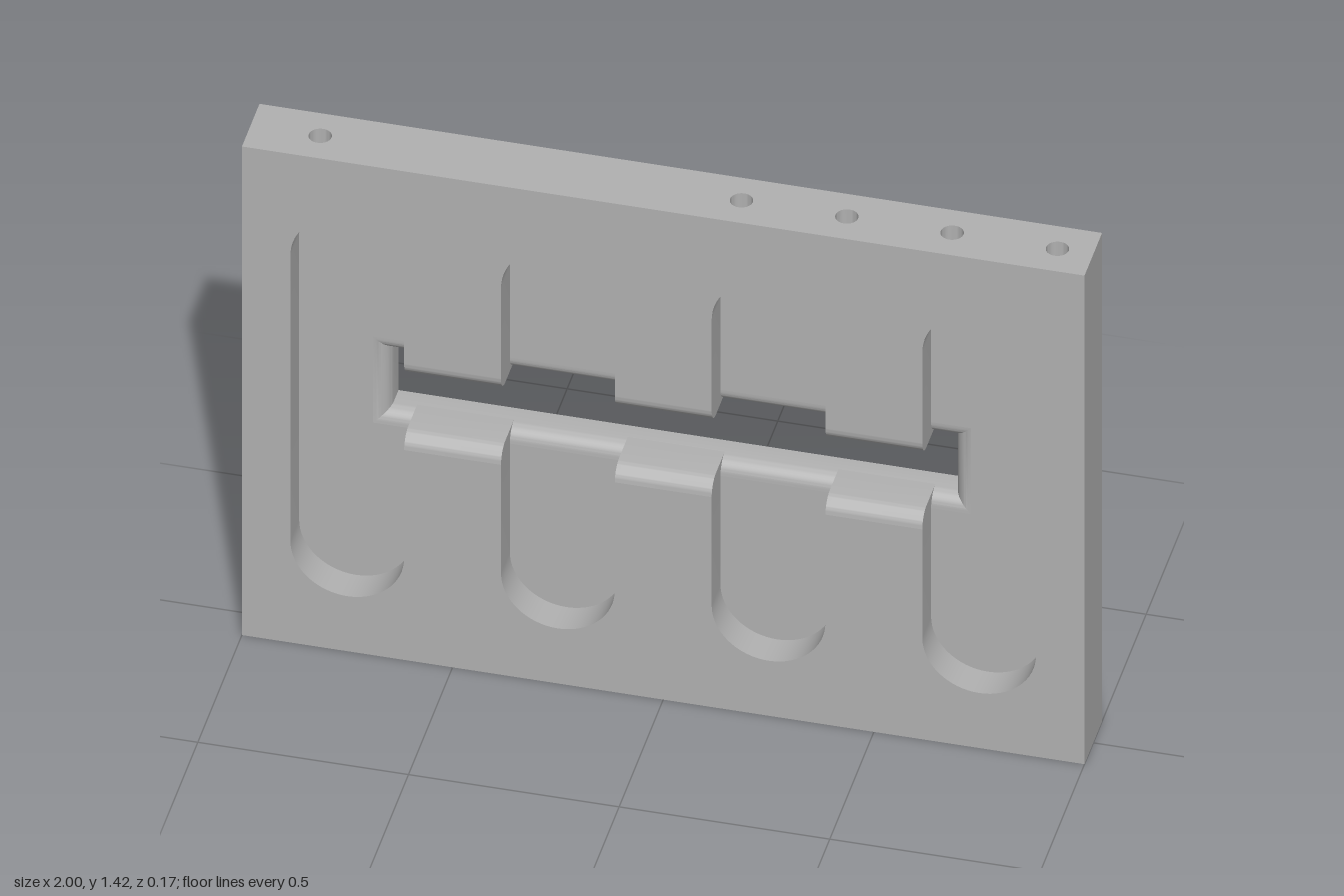
import * as THREE from 'three';
import { toCreasedNormals } from 'three/addons/utils/BufferGeometryUtils.js';

const H = 1.42, T = 0.083;                 // plate height, half thickness
const WX = 0.67, WB = 0.65, WT = 0.82;     // window half width, bottom, top
const F = 0.04;                            // window edge rounding
const R = 0.135, LOW = 0.295, HIGH = 1.125; // slot radius and arc centres
const SLOTS = [-0.75, -0.25, 0.25, 0.75];

// Rectangle as clockwise points
const rect = (x, y0, y1) => [[-x, y0], [-x, y1], [x, y1], [x, y0]].map(p => new THREE.Vector2(...p));

function sheet(outline, holes = []) {
  const shape = new THREE.Shape(outline);
  shape.holes.push(...holes);
  return new THREE.ShapeGeometry(shape, 32);
}

// Walls joining closed loops [{ points, z }]; clockwise loops face inwards
function loft(loops) {
  const pos = [], index = [], n = loops[0].points.length;
  loops.forEach(l => l.points.forEach(p => pos.push(p.x, p.y, l.z)));
  for (let k = 0; k < loops.length - 1; k++) {
    for (let i = 0; i < n; i++) {
      const a = k * n + i, b = k * n + (i + 1) % n;
      index.push(a, b, b + n, a, b + n, a + n);
    }
  }
  const geo = new THREE.BufferGeometry();
  geo.setAttribute('position', new THREE.Float32BufferAttribute(pos, 3));
  geo.setIndex(index);
  return toCreasedNormals(geo, 0.5);
}

// Outline of the four slots joined by the window, clockwise
function slotOutline() {
  const pts = [];
  const half = (centres, arcY, edgeY, start) => centres.forEach(cx => {
    const side = Math.cos(start) * R;
    pts.push(new THREE.Vector2(cx + side, edgeY));
    for (let i = 0; i <= 32; i++) {
      const a = start - Math.PI * i / 32;
      pts.push(new THREE.Vector2(cx + R * Math.cos(a), arcY + R * Math.sin(a)));
    }
    pts.push(new THREE.Vector2(cx - side, edgeY));
  });
  half(SLOTS, HIGH, WT + F, Math.PI);
  half([...SLOTS].reverse(), LOW, WB - F, 0);
  return pts;
}

// Rounded end of a rib between two slots; s = 1 above the window, -1 below
function ribTip(x, edge, s) {
  const shape = new THREE.Shape();
  shape.moveTo(F, edge);
  shape.lineTo(F - T, edge);
  shape.absarc(F - T, edge + s * F, F, -s * Math.PI / 2, -s * Math.PI, s > 0);
  shape.lineTo(F, edge + s * F);
  const length = 0.5 - 2 * R;
  const geo = new THREE.ExtrudeGeometry(shape, { depth: length, bevelEnabled: false, curveSegments: 10 });
  geo.rotateY(Math.PI / 2).translate(x - length / 2, 0, 0);
  return toCreasedNormals(geo, 0.5);
}

export function createModel() {
  const group = new THREE.Group();
  const grey = new THREE.MeshStandardMaterial({ color: 0xb0b0b0, side: THREE.DoubleSide });
  grey.name = 'plain grey';
  const add = (name, geo) => {
    const mesh = new THREE.Mesh(geo, grey);
    mesh.name = name;
    group.add(mesh);
    return mesh;
  };

  // Front face and slots
  const outline = slotOutline();
  add('frontFace', sheet(rect(1, 0, H), [new THREE.Path(outline)]).translate(0, 0, T));
  add('slotWalls', loft([{ points: outline, z: 0 }, { points: outline, z: T }]));
  add('slotFloors', sheet(rect(0.9, 0.15, 1.27), [new THREE.Path(rect(WX + F, WB - F, WT + F))]));

  // Back face with the window
  add('backFace', sheet(rect(1, 0, H), [new THREE.Path(rect(WX, WB, WT))]).rotateY(Math.PI).translate(0, 0, -T));

  // Window walls, rounded out towards the slot floors
  const loops = [{ points: rect(WX, WB, WT), z: -T }];
  for (let i = 0; i <= 10; i++) {
    const a = i / 10 * Math.PI / 2, e = F * (1 - Math.cos(a));
    loops.push({ points: rect(WX + e, WB - e, WT + e), z: -F + F * Math.sin(a) });
  }
  add('windowWalls', loft(loops));

  // Rounded rib ends above and below the window
  for (const x of [-0.5, 0, 0.5]) {
    add('upperRibTip', ribTip(x, WT, 1));
    add('lowerRibTip', ribTip(x, WB, -1));
  }

  // Left and right ends
  for (const s of [-1, 1]) {
    add(s > 0 ? 'leftEnd' : 'rightEnd',
      new THREE.PlaneGeometry(2 * T, H).rotateY(s * Math.PI / 2).translate(s, H / 2, 0));
  }

  // Top and bottom edges with blind pin holes
  const pinR = 0.027, depth = 0.12;
  const pinEdge = (name, y, s, xs) => {
    const holes = xs.map(x => new THREE.Path().absarc(x, 0, pinR, 0, Math.PI * 2, true));
    add(name, sheet(rect(1, -T, T), holes).rotateX(-s * Math.PI / 2).translate(0, y, 0));
    const profile = [[0, y - s * depth], [pinR, y - s * depth], [pinR, y]].map(p => new THREE.Vector2(...p));
    for (const x of xs) {
      add('pinHole', toCreasedNormals(new THREE.LatheGeometry(profile, 32), 0.5).translate(x, 0, 0));
    }
  };
  pinEdge('topEdge', H, 1, [-0.835, 0.165, 0.415, 0.665, 0.915]);
  pinEdge('bottomEdge', 0, -1, [-0.84, -0.503, -0.168, 0.168, 0.503, 0.84]);

  return group;
}
